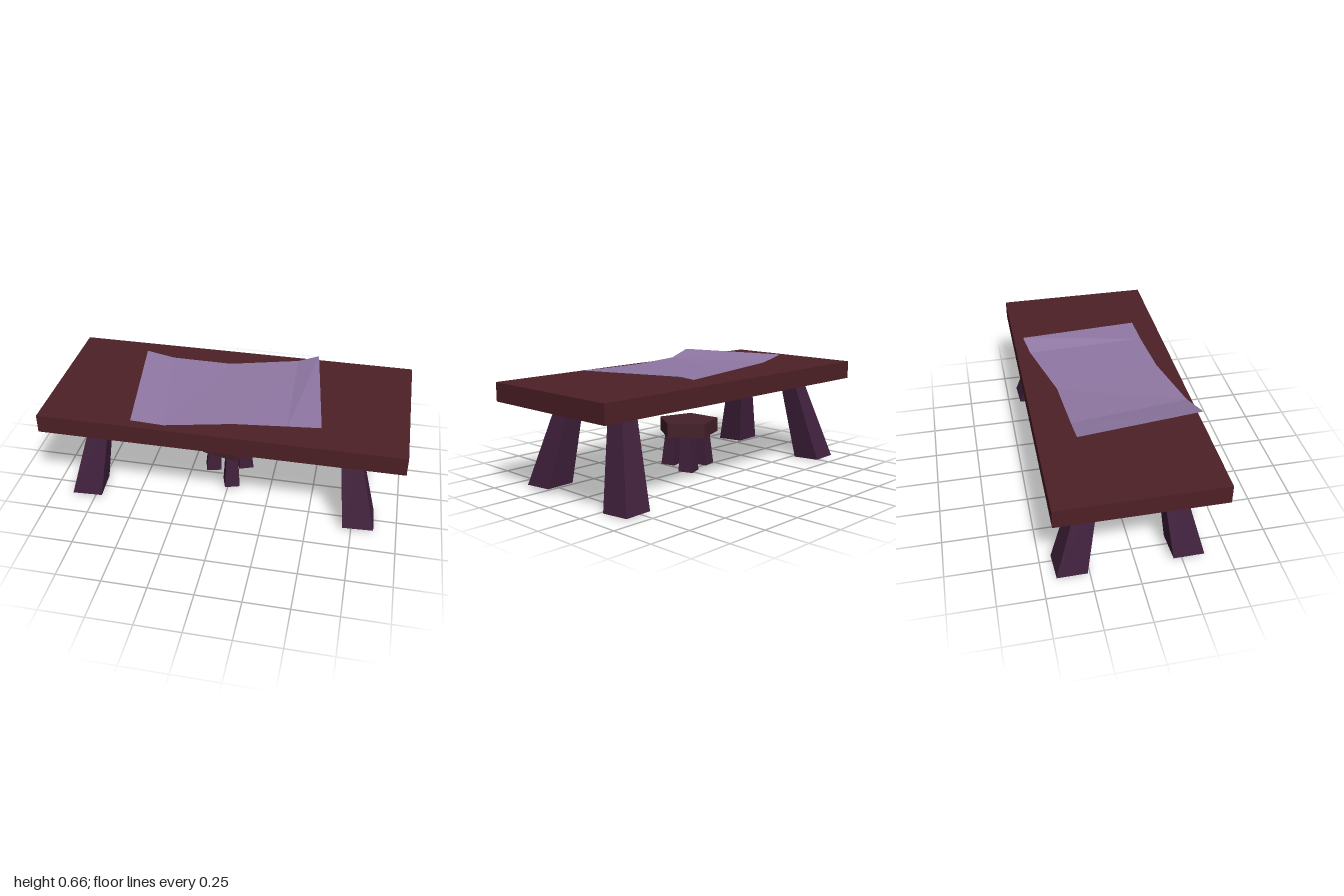
import * as THREE from 'three';

const paint = (color, side = THREE.FrontSide) =>
  new THREE.MeshStandardMaterial({ color, side, flatShading: true });

// Tapered square leg between two centres; the foot is cut at a slight slope.
function makeLeg(name, foot, head, footWidth, headWidth, turn, slope, material) {
  const geometry = new THREE.CylinderGeometry(Math.SQRT1_2, Math.SQRT1_2, 1, 4);
  geometry.rotateY(Math.PI / 4 + turn);
  const p = geometry.attributes.position;
  for (let i = 0; i < p.count; i++) {
    const top = p.getY(i) > 0;
    const c = top ? head : foot;
    const w = top ? headWidth : footWidth;
    const dz = p.getZ(i) * w;
    p.setXYZ(i, c[0] + p.getX(i) * w, c[1] - (top ? 0 : slope * dz), c[2] + dz);
  }
  geometry.computeVertexNormals();
  const mesh = new THREE.Mesh(geometry, material);
  mesh.name = name;
  return mesh;
}

function makeTable() {
  const table = new THREE.Group();
  table.name = 'table';
  const top = new THREE.Mesh(new THREE.BoxGeometry(2, 0.105, 0.885), paint(0x4d2026));
  top.name = 'tableTop';
  top.position.set(0, 0.547, -0.007);
  table.add(top);

  // Four splayed legs, the rear pair reaching a little lower
  const wood = paint(0x40203c);
  for (const s of [-1, 1]) {
    const footX = s * 0.79 - 0.006, headX = s * 0.702 - 0.008;
    table.add(makeLeg('frontTableLeg', [footX, 0.026, 0.28], [headX, 0.505, 0.19],
      0.172, 0.1, 0.05, 0.045, wood));
    table.add(makeLeg('backTableLeg', [footX, 0.006, -0.348], [headX, 0.505, -0.223],
      0.165, 0.1, 0.05, 0.045, wood));
  }
  return table;
}

function makeStool() {
  const stool = new THREE.Group();
  stool.name = 'stool';

  // Five-sided seat
  const geometry = new THREE.CylinderGeometry(0.18, 0.18, 0.08, 5);
  geometry.rotateY(Math.PI / 2 + THREE.MathUtils.degToRad(3));
  geometry.rotateY(-Math.PI);
  geometry.rotateY(Math.PI);
  // A cylinder starts at +z; the turn above points one corner to the left side
  const seat = new THREE.Mesh(geometry, paint(0x45202a));
  seat.name = 'stoolSeat';
  seat.position.set(-0.01, 0.273, -0.006);
  stool.add(seat);

  // Three legs, each turned differently
  const wood = paint(0x40203a);
  const feet = [[0.02, 0.105, 0.3], [-0.117, -0.03, 0.25], [0.068, -0.085, 0.35]];
  for (const [x, z, turn] of feet) {
    stool.add(makeLeg('stoolLeg', [x, 0.03, z], [x * 0.9, 0.24, z * 0.85],
      0.088, 0.066, turn, 0, wood));
  }
  return stool;
}

// Thin sheet with lifted ends, built from pairs of rear and front points
function makeSheet() {
  const rear = [[-0.56, 0.665, -0.25], [-0.4, 0.633, -0.255], [-0.06, 0.618, -0.275],
    [0.33, 0.624, -0.375], [0.45, 0.656, -0.4]];
  const front = [[-0.46, 0.65, 0.445], [-0.29, 0.613, 0.405], [0.07, 0.615, 0.325],
    [0.36, 0.621, 0.3], [0.54, 0.628, 0.29]];
  const points = [], index = [];
  rear.forEach((r, i) => {
    points.push(...r, ...front[i]);
    if (i) {
      const a = 2 * i - 2;
      index.push(a, a + 1, a + 2, a + 1, a + 3, a + 2);
    }
  });
  const geometry = new THREE.BufferGeometry();
  geometry.setAttribute('position', new THREE.Float32BufferAttribute(points, 3));
  geometry.setIndex(index);
  geometry.computeVertexNormals();
  const sheet = new THREE.Mesh(geometry, paint(0x9078a4, THREE.DoubleSide));
  sheet.name = 'paperSheet';
  return sheet;
}

export function createModel() {
  const model = new THREE.Group();
  model.name = 'tableWithStool';
  model.add(makeTable(), makeStool(), makeSheet());
  return model;
}
